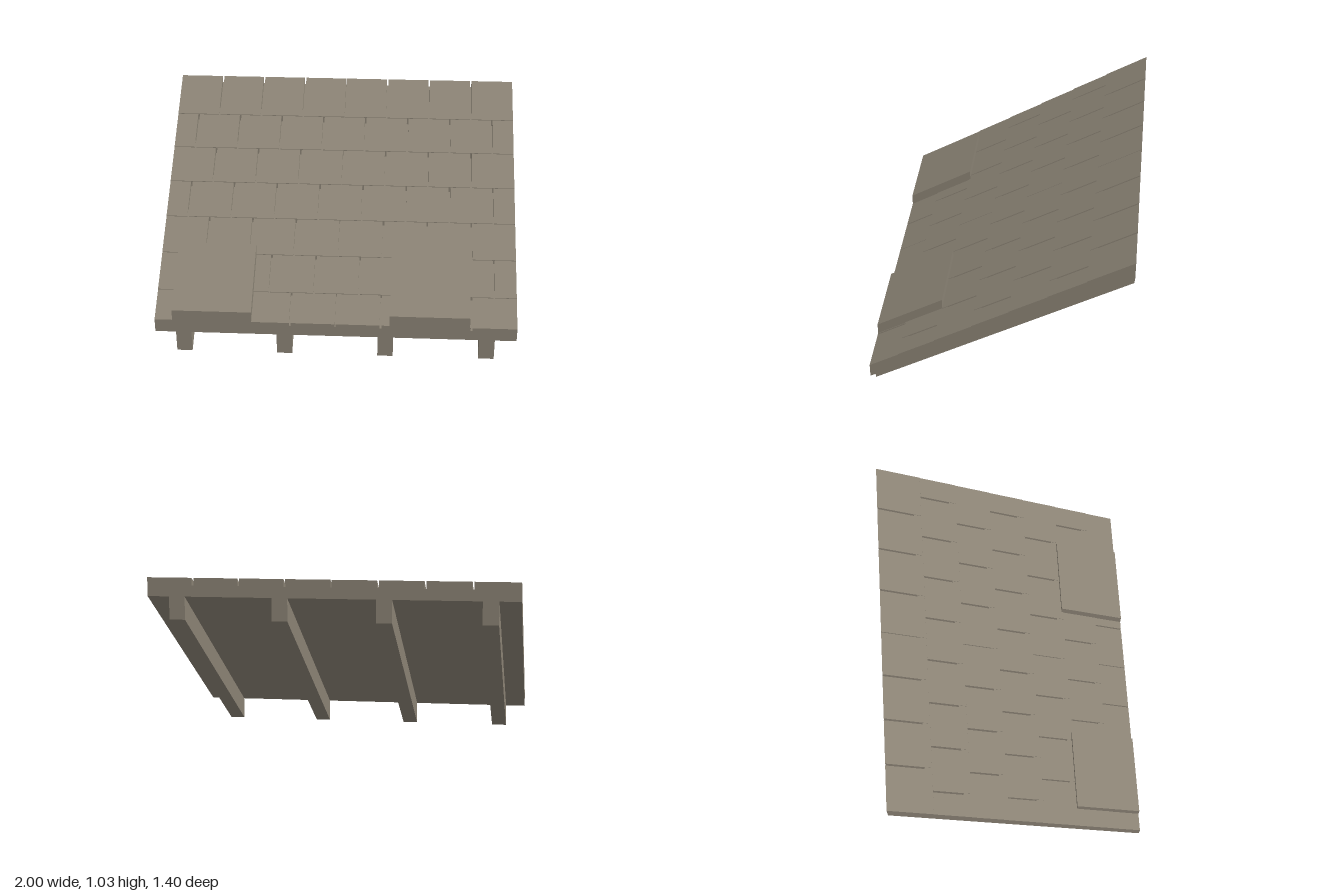
import * as THREE from 'three';

const SLOPE = 0.576; // rise per unit of depth
const FRONT = 0.7;
const BACK = -0.7;

export function createModel() {
  const group = new THREE.Group();
  const weatheredWood = new THREE.MeshStandardMaterial({ color: 0x8b8375 });
  weatheredWood.name = 'weatheredWood';

  // Box sheared along the roof pitch, with plumb-cut ends; y0 and y1 are heights at z1 (its front)
  function pitched(name, x0, x1, z0, z1, y0, y1, parent = group) {
    const geo = new THREE.BoxGeometry(x1 - x0, y1 - y0, z1 - z0);
    geo.translate((x0 + x1) / 2, (y0 + y1) / 2, (z0 + z1) / 2);
    const p = geo.attributes.position;
    for (let i = 0; i < p.count; i++) p.setY(i, p.getY(i) + (z1 - p.getZ(i)) * SLOPE);
    const flat = geo.toNonIndexed();
    flat.computeVertexNormals();
    const mesh = new THREE.Mesh(flat, weatheredWood);
    mesh.name = name;
    parent.add(mesh);
  }

  // Deck and the rafters under it
  pitched('deck', -1, 1, BACK, FRONT, 0.125, 0.186);
  for (const x of [-0.842, -0.282, 0.278, 0.838]) {
    pitched('rafter', x - 0.043, x + 0.043, BACK, FRONT, 0, 0.125);
  }

  // Overlapping shingle courses, each lifted slightly above the one below
  for (let k = 0; k < 7; k++) {
    const course = new THREE.Group();
    course.name = 'shingleCourse';
    group.add(course);
    const butt = 0.74 - 0.2 * k;
    const zFront = Math.min(butt, FRONT);
    const top = 0.181 + 0.119 * k + (butt - zFront) * SLOPE;
    const offset = k % 2 ? 0.125 : 0;
    for (let i = 0; i < 8 + (k % 2); i++) {
      const left = -1 - offset + 0.25 * i;
      const right = left + 0.25;
      const gap = (x) => (Math.abs(x) < 0.01 ? 0.002 : 0.005);
      const x0 = left <= -1 ? -1 : left + gap(left);
      const x1 = right >= 1 ? 1 : right - gap(right);
      pitched('shingle', x0, x1, Math.max(butt - 0.24, BACK), zFront, top - 0.042, top, course);
    }
  }

  // Raised patches along the eave
  pitched('rightPatch', -0.902, -0.463, 0.332, FRONT, 0.18, 0.267);
  pitched('leftPatch', 0.3, 0.741, 0.332, FRONT, 0.18, 0.267);

  return group;
}
